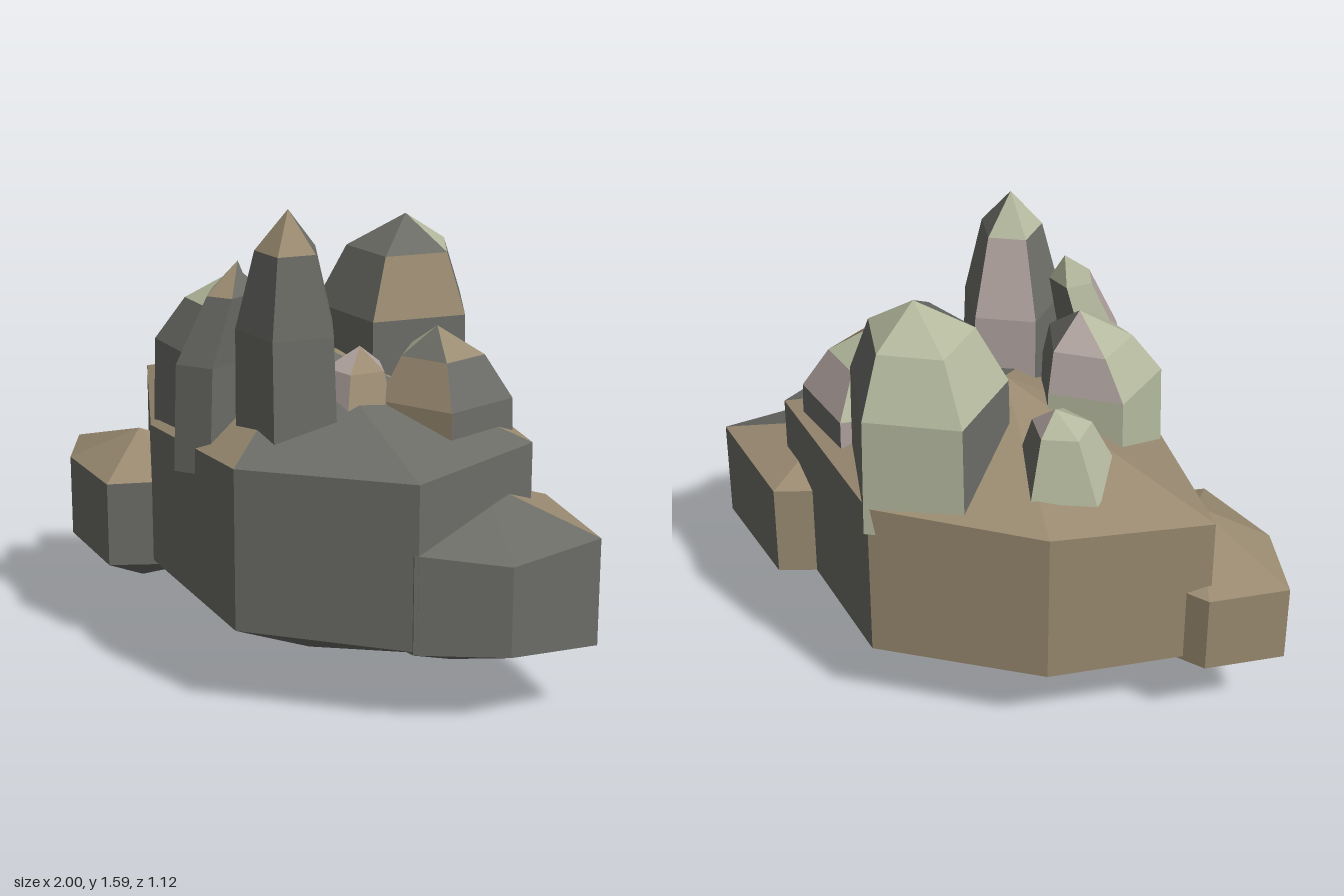
import * as THREE from 'three';

const mat = (name, color) => {
  const m = new THREE.MeshStandardMaterial({ color, flatShading: true });
  m.name = name;
  return m;
};

// Joins rings of [x, y, z] points, listed bottom to top. colours[band][side] picks a letter.
function loft(name, rings, colours, mats) {
  const letters = 'gtlp';
  const pos = [];
  const geo = new THREE.BufferGeometry();
  for (let b = 0; b < rings.length - 1; b++) {
    const lo = rings[b], hi = rings[b + 1], n = lo.length;
    for (let i = 0; i < n; i++) {
      const j = (i + 1) % n, start = pos.length / 3;
      const same = (a, c) => a.every((v, k) => v === c[k]);
      if (!same(hi[i], hi[j])) pos.push(...lo[i], ...hi[i], ...hi[j]);
      if (!same(lo[i], lo[j])) pos.push(...lo[i], ...hi[j], ...lo[j]);
      geo.addGroup(start, pos.length / 3 - start, letters.indexOf(colours[b][i]));
    }
  }
  geo.setAttribute('position', new THREE.Float32BufferAttribute(pos, 3));
  geo.computeVertexNormals();
  const mesh = new THREE.Mesh(geo, mats);
  mesh.name = name;
  return mesh;
}

// Boulder: outline rows are [x, z, bottomY, topY], closed by a point below and above
function boulder(name, outline, under, peak, wall, top, mats) {
  const rings = [
    outline.map(() => under),
    outline.map(([x, z, y]) => [x, y, z]),
    outline.map(([x, z, , y]) => [x, y, z]),
    outline.map(() => peak),
  ];
  return loft(name, rings, ['g'.repeat(outline.length), wall, top], mats);
}

// Crystal: five-sided, levels are [y, radius, centreX, centreZ], ending in a tip
function crystal(name, degrees, levels, tip, colours, mats) {
  const rings = levels.map(([y, r, cx, cz]) =>
    Array.from({ length: 5 }, (_, i) => {
      const a = ((degrees + i * 72) * Math.PI) / 180;
      return [cx + r * Math.cos(a), y, cz + r * Math.sin(a)];
    }));
  rings.push(rings[0].map(() => tip));
  return loft(name, rings, colours, mats);
}

export function createModel() {
  const mats = [
    mat('stone grey', 0x6c6d67),
    mat('warm tan', 0x9a8b71),
    mat('pale green', 0xb4b99e),
    mat('dusty pink', 0xb0a39f),
  ];
  const group = new THREE.Group();
  group.name = 'crystalRock';

  // Boulders
  group.add(
    boulder('mainBoulder', [
      [0.73, 0.21, 0.27, 0.82], [0.25, 0.55, 0.28, 0.82], [-0.35, 0.43, 0.31, 0.79],
      [-0.81, 0.11, 0.3, 0.83], [-0.47, -0.3, 0.27, 0.83], [0.07, -0.56, 0.26, 0.84],
      [0.7, -0.3, 0.26, 0.84],
    ], [0, 0, 0.04], [0, 1.08, 0.03], 'gggttgg', 'gtttttg', mats),
    boulder('rightBoulder', [
      [-0.3, 0.3, 0.28, 0.58], [-0.47, 0.53, 0.28, 0.57], [-0.79, 0.46, 0.29, 0.57],
      [-1, 0.28, 0.28, 0.56], [-0.84, 0.06, 0.28, 0.56], [-0.45, 0.0, 0.28, 0.57],
    ], [-0.6, 0.15, 0.3], [-0.6, 0.69, 0.3], 'gggttg', 'tttttt', mats),
    boulder('leftBoulder', [
      [0.93, 0, 0.26, 0.56], [0.72, 0.22, 0.26, 0.59], [0.4, 0.2, 0.26, 0.59],
      [0.3, -0.2, 0.26, 0.6], [0.6, -0.47, 0.26, 0.6], [1, -0.31, 0.24, 0.6],
    ], [0.55, 0.1, -0.1], [0.62, 0.72, -0.16], 'gggtgg', 'gttttg', mats),
  );

  // Crystals
  group.add(
    crystal('tallCrystal', -15,
      [[0.74, 0.18, 0.17, 0.25], [1.2, 0.17, 0.17, 0.26], [1.46, 0.105, 0.19, 0.28]],
      [0.19, 1.59, 0.28], ['gggpg', 'gggpg', 'ttllg'], mats),
    crystal('wideCrystal', -14,
      [[0.74, 0.28, 0.06, -0.29], [1.17, 0.27, 0.06, -0.29], [1.37, 0.18, 0.08, -0.29]],
      [0.1, 1.48, -0.29], ['ggglg', 'tgllg', 'gglll'], mats),
    crystal('sideCrystal', -36,
      [[0.8, 0.23, 0.41, -0.18], [0.96, 0.225, 0.41, -0.18], [1.1, 0.14, 0.41, -0.17]],
      [0.41, 1.19, -0.15], ['gtgpg', 'gtplp', 'tglll'], mats),
    crystal('frontCrystal', -80,
      [[0.76, 0.22, -0.21, 0.25], [1.08, 0.21, -0.21, 0.25], [1.22, 0.145, -0.19, 0.22]],
      [-0.17, 1.32, 0.2], ['gggll', 'ggglp', 'ggllp'], mats),
    crystal('leaningCrystal', -44,
      [[0.72, 0.11, -0.07, 0.42], [1.08, 0.11, -0.05, 0.42], [1.3, 0.075, 0, 0.37]],
      [0, 1.4, 0.33], ['ggtpg', 'ggplg', 'gtlll'], mats),
    crystal('smallCrystal', -20,
      [[0.9, 0.14, 0.26, 0.06], [1.05, 0.1, 0.24, 0.04]],
      [0.22, 1.11, 0.01], ['tpglp', 'tpllp'], mats),
    crystal('backCrystal', -90,
      [[0.88, 0.18, -0.34, -0.06], [1.09, 0.1, -0.33, -0.08]],
      [-0.32, 1.16, -0.1], ['gglll', 'pglll'], mats),
  );
  return group;
}
